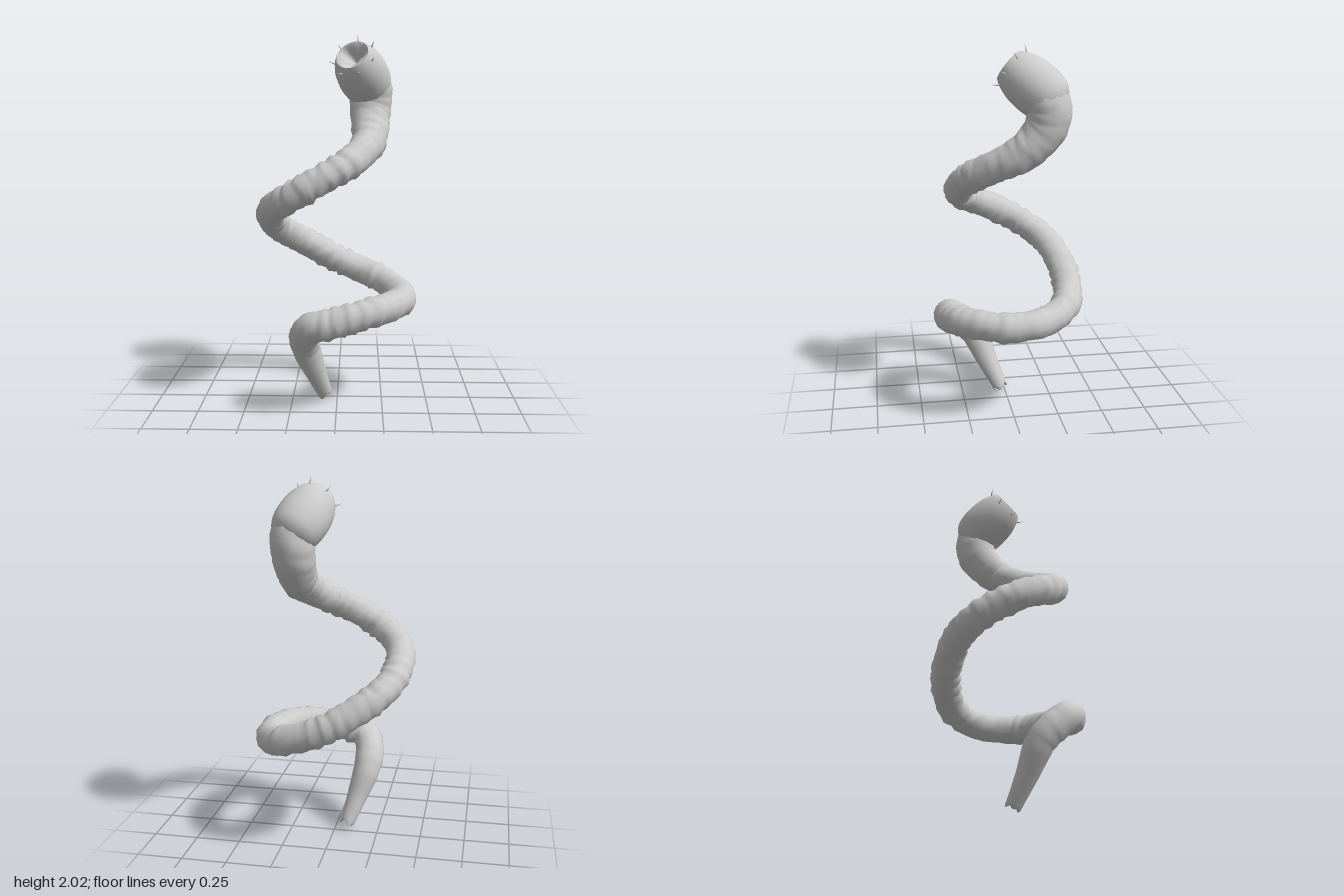
import * as THREE from 'three';

const V = (x, y, z) => new THREE.Vector3(x, y, z);
const material = new THREE.MeshStandardMaterial({ color: 0xcccccc });

// Small seeded generator for the wrinkles, returns -1..1
let seed = 7;
const jitter = () => {
  seed = (seed * 16807) % 2147483647;
  return (seed / 2147483647) * 2 - 1;
};

// Centre line, from the tail tip up to the neck
const path = [
  [-0.07, 0.03, 0.03], [-0.12, 0.18, 0.1], [-0.168, 0.34, 0.17], [-0.168, 0.42, 0.24],
  [-0.13, 0.485, 0.31], [-0.04, 0.505, 0.328], [0.08, 0.54, 0.32], [0.2, 0.565, 0.28],
  [0.29, 0.575, 0.2], [0.35, 0.575, 0.08], [0.355, 0.58, -0.06], [0.31, 0.595, -0.19],
  [0.22, 0.635, -0.285], [0.1, 0.68, -0.325], [-0.03, 0.74, -0.33], [-0.16, 0.82, -0.3],
  [-0.275, 0.895, -0.235], [-0.35, 0.97, -0.12], [-0.367, 1.035, 0.0], [-0.345, 1.09, 0.11],
  [-0.27, 1.145, 0.21], [-0.17, 1.205, 0.25], [-0.05, 1.275, 0.235], [0.05, 1.33, 0.18],
  [0.13, 1.39, 0.08], [0.173, 1.45, -0.03], [0.18, 1.53, -0.125], [0.18, 1.61, -0.175],
  [0.185, 1.69, -0.187], [0.178, 1.75, -0.165],
].map((p) => V(...p));

// Body radius along the length, 0 at the tail and 1 at the neck
const radiusKeys = [
  [0, 0.042], [0.04, 0.057], [0.08, 0.076], [0.12, 0.083], [0.2, 0.08],
  [0.8, 0.078], [0.88, 0.089], [0.92, 0.102], [0.96, 0.115], [1, 0.122],
];
function bodyRadius(t) {
  const i = Math.max(1, radiusKeys.findIndex((k) => k[0] >= t));
  const [t0, r0] = radiusKeys[i - 1];
  const [t1, r1] = radiusKeys[i];
  return THREE.MathUtils.lerp(r0, r1, (t - t0) / (t1 - t0));
}

// Wrinkled tube, with a notched hollow at the tail
function bodyGeometry() {
  const rings = 168, sides = 13;
  const curve = new THREE.CatmullRomCurve3(path, false, 'centripetal');
  curve.arcLengthDivisions = 800;
  const { tangents, normals, binormals } = curve.computeFrenetFrames(rings, false);
  const positions = [], index = [];

  const addRing = (i, radiusAt, shiftAt) => {
    const centre = curve.getPointAt(i / rings);
    for (let j = 0; j < sides; j++) {
      const a = (j / sides) * Math.PI * 2, r = radiusAt(a);
      const p = centre.clone()
        .addScaledVector(normals[i], Math.cos(a) * r)
        .addScaledVector(binormals[i], Math.sin(a) * r)
        .addScaledVector(tangents[i], shiftAt(a));
      positions.push(p.x, p.y, p.z);
    }
  };

  // Hollow inside the tail, then the ragged rim
  addRing(0, () => 0.001, () => 0.05);
  addRing(0, () => 0.036, (a) => 0.012 * Math.cos(3 * a));
  let phase = 0, swell = 0;
  for (let i = 0; i <= rings; i++) {
    const t = i / rings;
    const rough = THREE.MathUtils.smoothstep(t, 0.07, 0.13);
    // Each fold spans three rings and rises to a sharp crest
    const step = i % 3;
    if (step === 0) {
      phase = jitter() * Math.PI;
      swell = 0.004 + 0.004 * jitter();
    }
    const fold = rough * swell * [-0.7, 0.1, 1][step];
    addRing(
      i,
      (a) => bodyRadius(t) + fold + rough * (0.0025 * Math.sin(3 * a + phase) + 0.0035 * jitter()),
      (a) => (i === 0 ? 0.016 * Math.cos(3 * a) : rough * 0.009 * Math.sin(2 * a + phase)),
    );
  }

  for (let i = 0; i < rings + 2; i++) {
    for (let j = 0; j < sides; j++) {
      const a = i * sides + j, b = i * sides + ((j + 1) % sides);
      index.push(a, b, a + sides, b, b + sides, a + sides);
    }
  }
  const geometry = new THREE.BufferGeometry();
  geometry.setAttribute('position', new THREE.Float32BufferAttribute(positions, 3));
  geometry.setIndex(index);
  geometry.computeVertexNormals();
  return geometry;
}

export function createModel() {
  seed = 7;
  const model = new THREE.Group();
  const add = (parent, name, geometry) => {
    const mesh = new THREE.Mesh(geometry, material);
    mesh.name = name;
    parent.add(mesh);
    return mesh;
  };

  add(model, 'body', bodyGeometry());

  // Head group, local +y points out of the mouth
  const head = new THREE.Group();
  head.name = 'head';
  head.position.set(0.18, 1.73, -0.205);
  head.quaternion.setFromUnitVectors(V(0, 1, 0), V(-0.34, 0.6, 0.71).normalize());
  model.add(head);

  const outer = new THREE.SplineCurve([
    [0.001, -0.06], [0.07, -0.05], [0.118, -0.01], [0.138, 0.05],
    [0.143, 0.12], [0.134, 0.2], [0.113, 0.26], [0.092, 0.293],
  ].map((p) => new THREE.Vector2(...p))).getPoints(20);
  add(head, 'skull', new THREE.LatheGeometry(outer, 24));

  // Mouth pit, its round rim narrowing to a three-sided throat
  const pit = new THREE.LatheGeometry(
    [[0.092, 0.293], [0.07, 0.285], [0.05, 0.255], [0.028, 0.225], [0, 0.205]].map((p) => new THREE.Vector2(...p)), 24);
  const pos = pit.attributes.position;
  for (let i = 0; i < pos.count; i++) {
    const x = pos.getX(i), z = pos.getZ(i);
    const depth = THREE.MathUtils.clamp((0.293 - pos.getY(i)) / 0.012, 0, 1);
    const k = 1 + 0.25 * depth * Math.cos(3 * Math.atan2(z, x));
    pos.setX(i, x * k);
    pos.setZ(i, z * k);
  }
  pit.computeVertexNormals();
  add(head, 'mouth', pit);

  // Curved bristles around the mouth
  const bristle = new THREE.ConeGeometry(0.006, 0.048, 6, 4);
  bristle.translate(0, 0.019, 0);
  const bp = bristle.attributes.position;
  for (let i = 0; i < bp.count; i++) bp.setX(i, bp.getX(i) - 6 * bp.getY(i) ** 2);
  bristle.computeVertexNormals();
  for (let i = 0; i < 7; i++) {
    const pivot = new THREE.Group();
    pivot.rotation.y = (i / 7) * Math.PI * 2 + 0.3;
    head.add(pivot);
    const mesh = add(pivot, 'bristle', bristle);
    mesh.position.set(0.11, 0.26, 0);
    mesh.rotation.z = -0.9;
  }
  return model;
}
